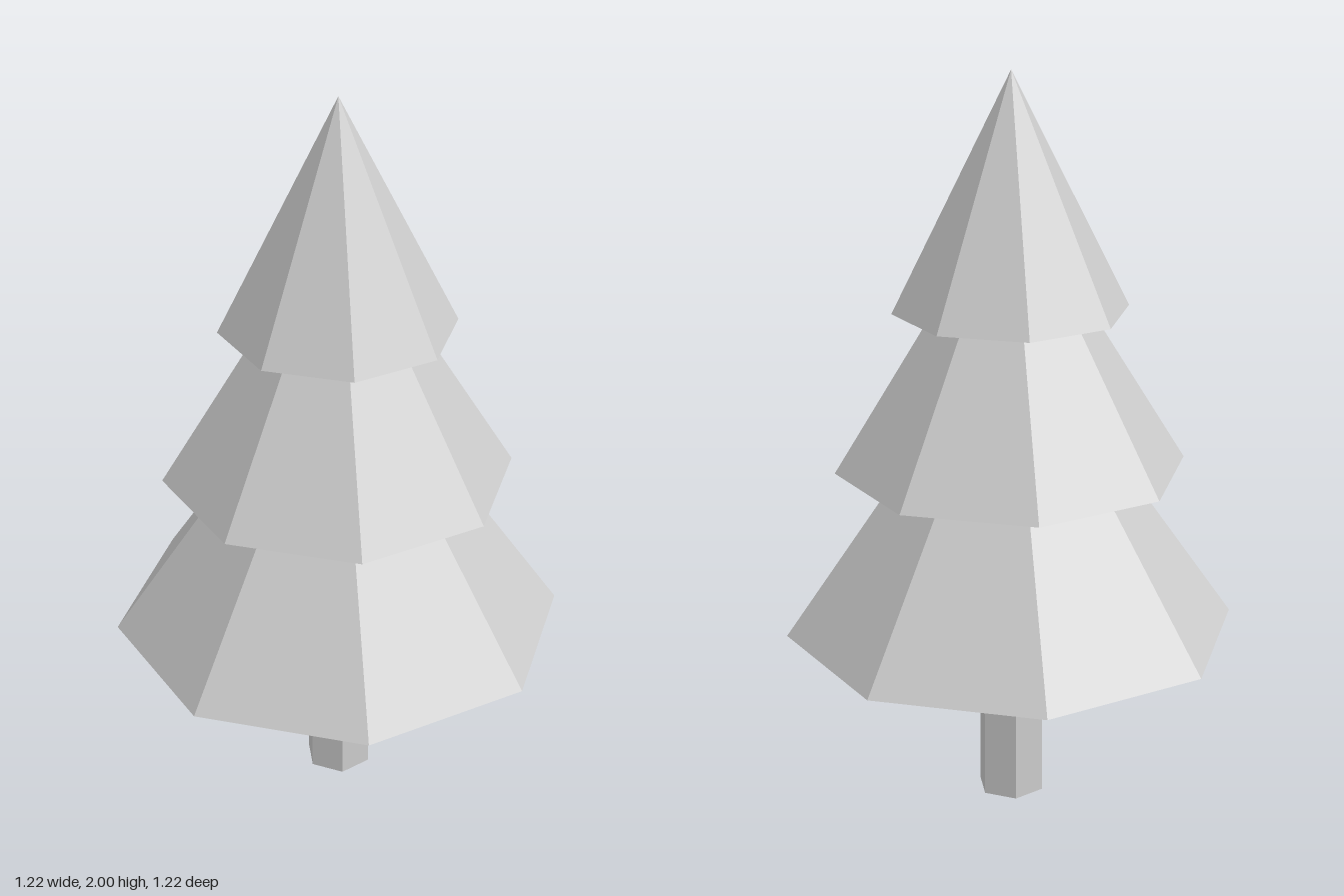
import * as THREE from 'three';

export function createModel() {
  const tree = new THREE.Group();
  tree.name = 'pineTree';

  const grey = new THREE.MeshStandardMaterial({ color: 0xcccccc, flatShading: true });
  grey.name = 'light grey';

  const add = (name, geometry, y) => {
    const mesh = new THREE.Mesh(geometry, grey);
    mesh.name = name;
    mesh.position.y = y;
    tree.add(mesh);
  };

  // Six-sided trunk, running slightly into the lowest tier
  const trunkHeight = 0.52;
  add('trunk', new THREE.CylinderGeometry(0.092, 0.092, trunkHeight, 6), trunkHeight / 2);

  // Three overlapping eight-sided tiers: name, base radius, base height, tip height
  const tiers = [
    ['lowerFoliage', 0.61, 0.49, 1.37],
    ['middleFoliage', 0.47, 0.947, 1.71],
    ['upperFoliage', 0.313, 1.376, 2.0],
  ];
  for (const [name, radius, base, tip] of tiers) {
    add(name, new THREE.ConeGeometry(radius, tip - base, 8), (base + tip) / 2);
  }

  return tree;
}
